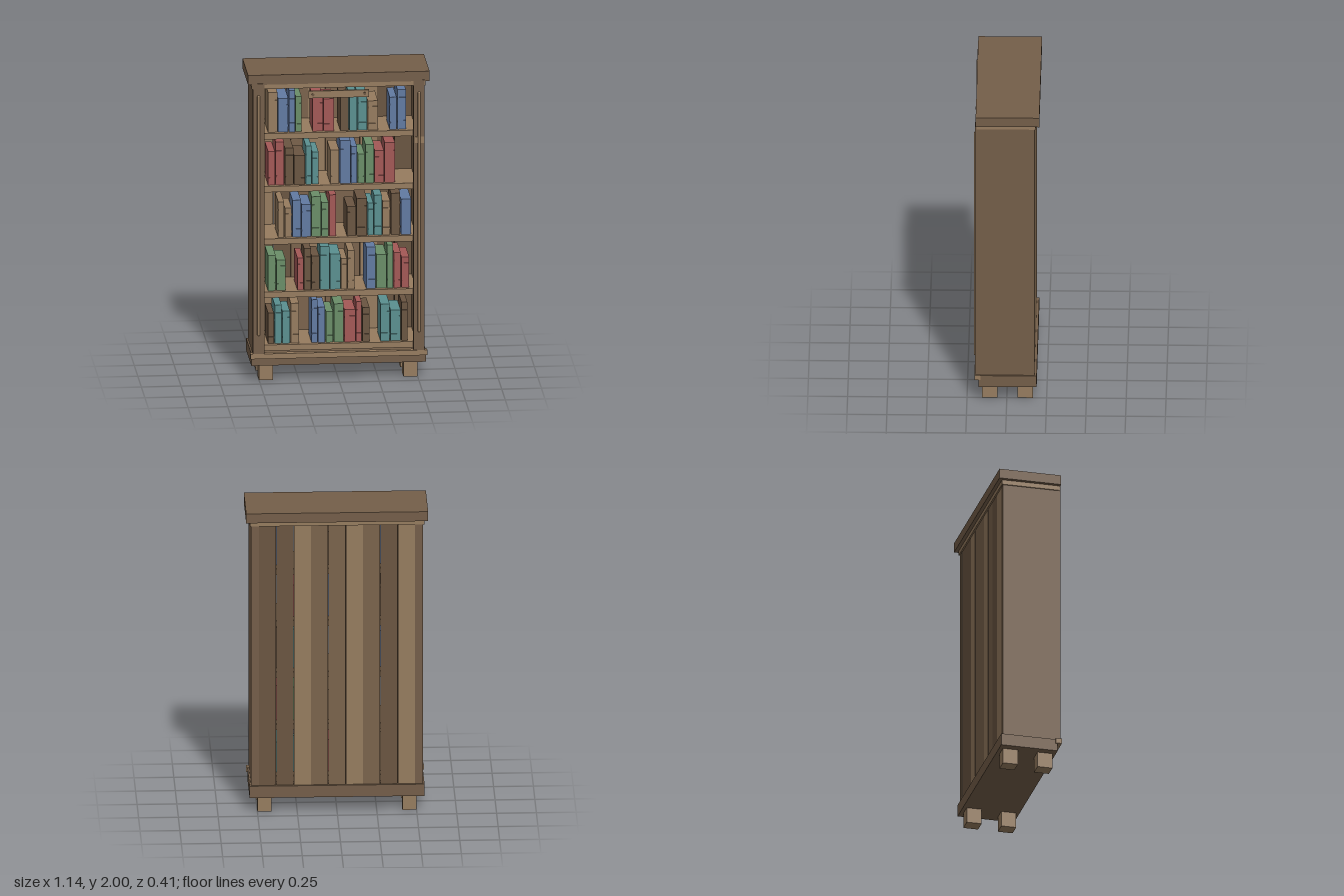
import * as THREE from 'three';

const mat = (name, color) => {
  const m = new THREE.MeshStandardMaterial({ color });
  m.name = name;
  return m;
};

export function createModel() {
  const model = new THREE.Group();
  model.name = 'bookcase';
  const wood = mat('wood', 0x745e49);
  const lightWood = mat('light wood', 0x967c5f);
  const darkWood = mat('dark wood', 0x6a5541);
  const midWood = mat('medium wood', 0x7a634c);
  const covers = {
    R: mat('red cover', 0xa35856),
    B: mat('blue cover', 0x627aa2),
    G: mat('green cover', 0x6a8e68),
    T: mat('teal cover', 0x5a9090),
    L: lightWood,
    D: darkWood,
  };

  // Box given by its lower and upper limits on each axis
  const box = (name, material, [x0, x1], [y0, y1], [z0, z1], parent = model) => {
    const mesh = new THREE.Mesh(new THREE.BoxGeometry(x1 - x0, y1 - y0, z1 - z0), material);
    mesh.position.set((x0 + x1) / 2, (y0 + y1) / 2, (z0 + z1) / 2);
    mesh.name = name;
    parent.add(mesh);
    return mesh;
  };
  // Limits mirrored to the chosen side
  const mirrored = (s, a, b) => (s > 0 ? [a, b] : [-b, -a]);

  // Crown and base
  box('topSlab', wood, [-0.572, 0.572], [1.937, 2], [-0.205, 0.195]);
  box('crownTrim', lightWood, [-0.548, 0.548], [1.907, 1.937], [-0.182, 0.19]);
  box('base', wood, [-0.55, 0.55], [0.1, 0.178], [-0.188, 0.178]);
  box('baseLedge', lightWood, [-0.558, 0.558], [0.15, 0.183], [0.165, 0.203]);

  // Sides, front stiles, rounded beading and feet
  for (const s of [-1, 1]) {
    box('sidePanel', wood, mirrored(s, 0.49, 0.54), [0.178, 1.907], [-0.175, 0.165]);
    box('frontStile', wood, mirrored(s, 0.47, 0.541), [0.183, 1.945], [0.16, 0.198]);
    const bead = new THREE.Mesh(new THREE.CapsuleGeometry(0.009, 1.552, 4, 10), lightWood);
    bead.position.set(s * 0.506, 1.085, 0.198);
    bead.name = 'stileBeading';
    model.add(bead);
    for (const z of [-0.116, 0.108]) {
      box('foot', lightWood, mirrored(s, 0.411, 0.5), [0, 0.1], [z - 0.048, z + 0.048]);
    }
  }
  box('stilePatch', lightWood, [0.472, 0.54], [1.535, 1.575], [0.197, 0.2]);

  // Back boards in alternating tones
  const tones = { L: lightWood, D: darkWood, M: midWood };
  [...'LDMLMMLDD'].forEach((tone, i) => {
    const w = 0.98 / 9, x = -0.49 + i * w;
    box('backBoard', tones[tone], [x + 0.001, x + w - 0.001], [0.178, 1.907], [-0.173, -0.158]);
  });

  // Blank name plate with two round studs
  box('plate', lightWood, [-0.19, 0.19], [1.842, 1.888], [0.18, 0.196]);
  for (const x of [-0.163, 0.163]) {
    const stud = new THREE.Mesh(new THREE.CylinderGeometry(0.009, 0.009, 0.008, 12), darkWood);
    stud.rotation.x = Math.PI / 2;
    stud.position.set(x, 1.865, 0.198);
    stud.name = 'plateStud';
    model.add(stud);
  }

  // Each run: start x, then books as cover, pitch and height in hundredths
  const rows = [
    [1.613, {
      '-.442': 'L6.3/26 B6.9/22 B4.2/27 G4.2/23',
      '-.161': 'R6.9/23 R6.9/21',
      '.013': 'D5.8/22 T5.3/23 T6.3/23 L6.9/19',
      '.325': 'B4.8/21 B5.8/26',
    }],
    [1.268, {
      '-.442': 'R4.8/22 R5.8/28 D5.8/24 D7.4/19 T4/25 T4.5/21',
      '-.05': 'L6.1/22 B7.1/28 B4.2/24 G4.8/19 G5.8/25 R6.3/21 R6.9/26',
    }],
    [0.926, {
      '-.378': 'L4.2/23 L4.8/19 B5.8/24 B6.3/21 G6.3/26 G4.8/22 R4.8/27',
      '.055': 'D6.1/19 D7.1/24 T4/21 T5.3/26 L5.3/22 D6.3/27 B6.9/23',
    }],
    [0.579, {
      '-.442': 'G5.3/23 G6.3/20',
      '-.257': 'R4.2/21 D4.8/27 D5.3/22 T6.3/28 T6.9/23 L4.2/20 L4.8/25',
      '.177': 'B6.3/27 G6.9/22 G4.2/28 R4.8/23 R5.3/20',
    }],
    [0.234, {
      '-.442': 'D4.2/20 T4.8/25 T5.3/21 L5.8/26',
      '-.167': 'B4/28 B5/23 G5/20 G6.6/25 R7.4/21 R4/26 D5/22',
      '.267': 'T6.3/24 T6.9/20 D4.2/25',
    }],
  ];

  for (const [y, runs] of rows) {
    box('shelf', lightWood, [-0.49, 0.49], [y - 0.038, y], [-0.158, 0.16]);
    box('shelfLip', lightWood, [-0.47, 0.47], [y - 0.038, y], [0.16, 0.178]);
    const books = new THREE.Group();
    books.name = 'shelfBooks';
    model.add(books);
    for (const [start, list] of Object.entries(runs)) {
      let x = Number(start);
      for (const item of list.split(' ')) {
        const [pitch, height] = item.slice(1).split('/').map((n) => n / 100);
        const cover = covers[item[0]];
        const right = x + pitch - 0.005;
        box('book', cover, [x, right], [y, y + height], [-0.08, 0.15], books);
        // Raised spine bands
        for (const t of [0.2, 0.78]) {
          const by = y + height * t;
          box('spineBand', cover, [x, right], [by - 0.006, by + 0.006], [0.149, 0.154], books);
        }
        x += pitch;
      }
    }
  }
  return model;
}
